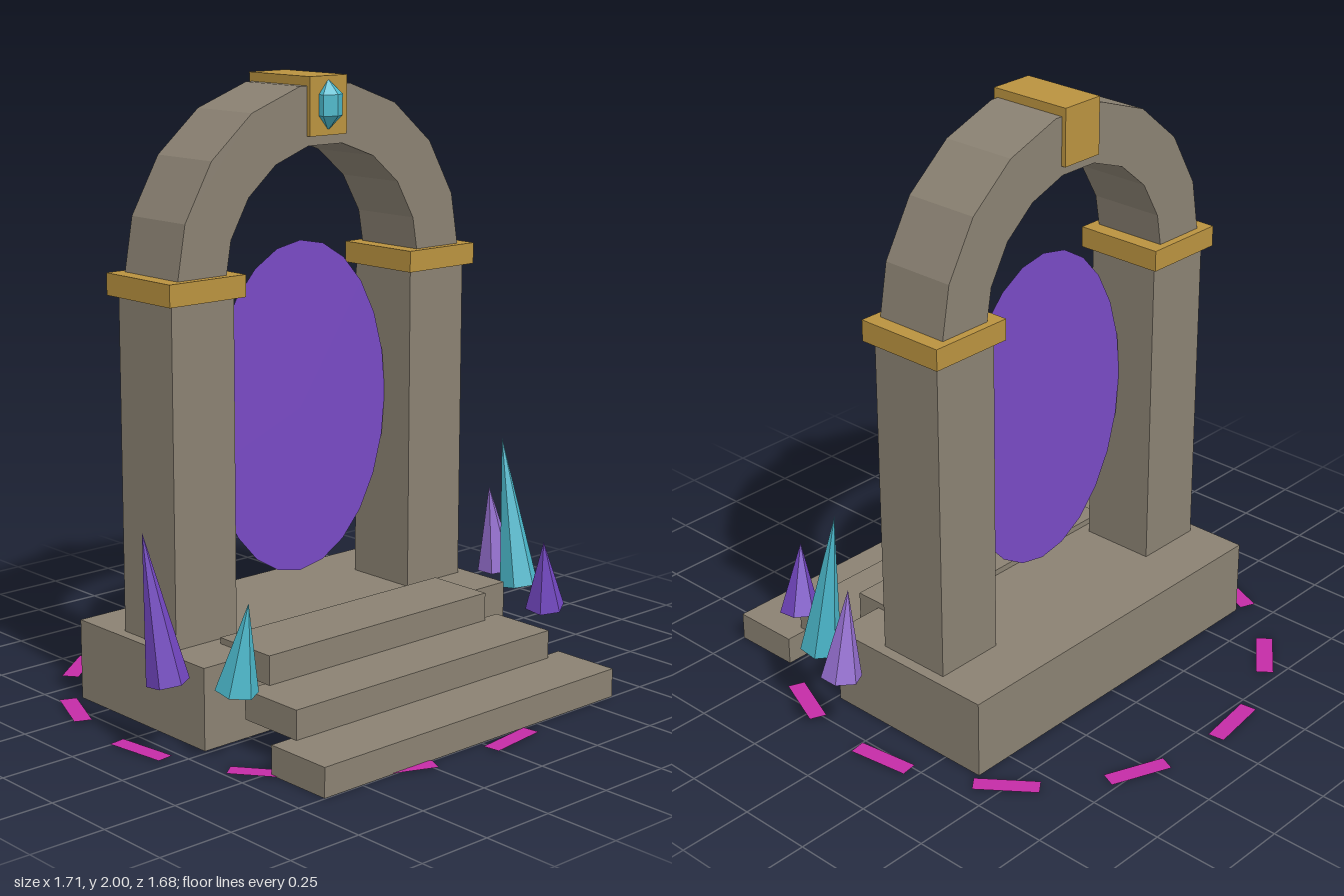
import * as THREE from 'three';

const CX = -0.018; // centre line of the arch
const CZ = -0.077; // centre depth of the arch

const material = (name, color, side = THREE.FrontSide) => {
  const m = new THREE.MeshStandardMaterial({ color, side, flatShading: true });
  m.name = name;
  return m;
};

export function createModel() {
  const root = new THREE.Group();
  root.name = 'stonePortal';

  const stone = material('stone', 0x8a8172);
  const gold = material('gold', 0xb9923f);
  const violet = material('portal violet', 0x784ac4, THREE.DoubleSide);
  const purple = material('crystal purple', 0x7246c0);
  const lilac = material('crystal lilac', 0x956fd0);
  const teal = material('crystal teal', 0x4bb8cb);
  const magenta = material('rune magenta', 0xc42ca6, THREE.DoubleSide);

  const add = (name, geometry, mat, x, y, z) => {
    const mesh = new THREE.Mesh(geometry, mat);
    mesh.name = name;
    mesh.position.set(x, y, z);
    root.add(mesh);
    return mesh;
  };
  // Box given by centre x, width, and y and z ranges
  const box = (name, mat, x, w, y0, y1, z0, z1) =>
    add(name, new THREE.BoxGeometry(w, y1 - y0, z1 - z0), mat, x, (y0 + y1) / 2, (z0 + z1) / 2);

  // Plinth and three steps
  box('base', stone, CX, 1.314, 0, 0.265, -0.395, 0.235);
  box('lowerStep', stone, CX, 1.26, 0, 0.095, 0.513, 0.748);
  box('middleStep', stone, CX, 1.104, 0.095, 0.19, 0.302, 0.537);
  box('upperStep', stone, CX, 0.946, 0.19, 0.285, 0.089, 0.324);

  // Pillars with gold capitals
  for (const [side, s] of [['left', 1], ['right', -1]]) {
    const x = CX + s * 0.498;
    box(side + 'Pillar', stone, x, 0.243, 0.265, 1.345, CZ - 0.13, CZ + 0.13);
    box(side + 'Capital', gold, x, 0.295, 1.345, 1.415, CZ - 0.156, CZ + 0.156);
  }

  // Faceted half-ring arch
  const segments = 9;
  const points = [];
  for (const [r, reverse] of [[0.6, false], [0.411, true]]) {
    for (let i = 0; i <= segments; i++) {
      const a = (Math.PI * (reverse ? segments - i : i)) / segments;
      points.push(new THREE.Vector2(r * Math.cos(a), r * Math.sin(a)));
    }
  }
  const archGeometry = new THREE.ExtrudeGeometry(new THREE.Shape(points), { depth: 0.26, bevelEnabled: false });
  add('arch', archGeometry, stone, CX, 1.38, CZ - 0.13);

  // Keystone and its gem
  box('keystone', gold, CX, 0.154, 1.815, 2, CZ - 0.145, CZ + 0.145);
  const profile = [[0, -0.08], [0.047, -0.033], [0.047, 0.033], [0, 0.08]].map(([x, y]) => new THREE.Vector2(x, y));
  add('keystoneGem', new THREE.LatheGeometry(profile, 6), teal, CX, 1.91, 0.065);

  // Portal surface
  add('portal', new THREE.CircleGeometry(1, 24), violet, CX, 0.922, -0.067).scale.set(0.378, 0.549, 1);

  // Leaning crystals: material, base centre, tip
  const crystals = [
    [purple, [-0.782, 0.236, 0.195], [-0.828, 0.7, 0.14]],
    [teal, [-0.676, 0.236, 0.39], [-0.665, 0.516, 0.434]],
    [purple, [0.612, 0.236, 0.447], [0.574, 0.47, 0.471]],
    [teal, [0.719, 0.24, 0.23], [0.704, 0.746, 0.154]],
    [lilac, [0.795, 0.245, 0.052], [0.754, 0.545, 0.05]],
  ];
  crystals.forEach(([mat, from, to], i) => {
    const base = new THREE.Vector3(...from);
    const axis = new THREE.Vector3(...to).sub(base);
    const h = axis.length();
    const geometry = new THREE.ConeGeometry(0.067, h, 6).translate(0, h / 2, 0);
    const mesh = add('crystal' + (i + 1), geometry, mat, ...from);
    mesh.quaternion.setFromUnitVectors(new THREE.Vector3(0, 1, 0), axis.normalize());
  });

  // Ring of flat runes on the ground
  const rune = new THREE.PlaneGeometry(0.21, 0.057).rotateX(-Math.PI / 2);
  for (let i = 0; i < 12; i++) {
    const a = ((i * 30 - 7.5) * Math.PI) / 180;
    const mesh = add('rune' + (i + 1), rune, magenta, CX + 0.805 * Math.sin(a), 0.003, -0.005 - 0.805 * Math.cos(a));
    mesh.rotation.y = -a;
  }
  return root;
}
